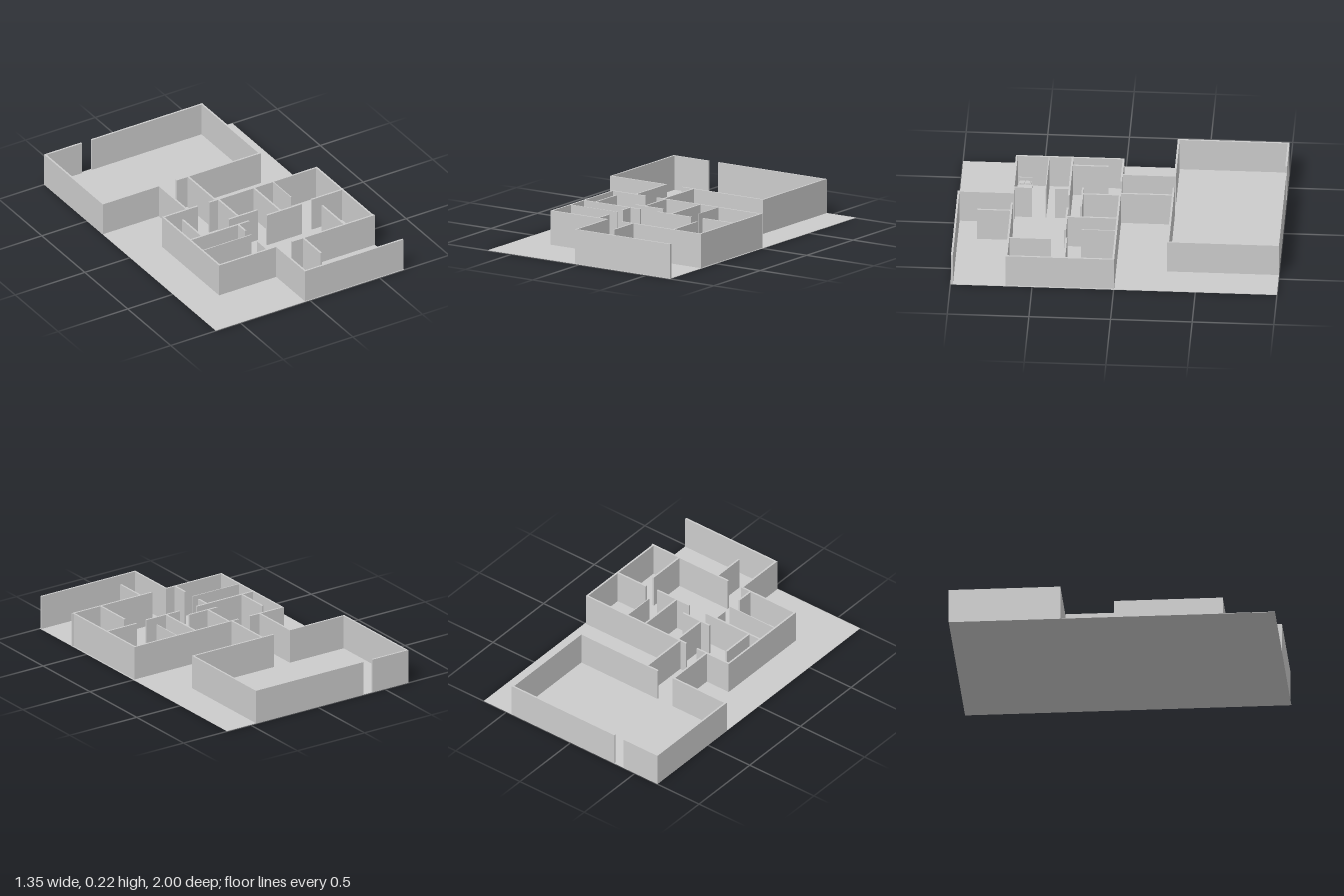
import * as THREE from 'three';

const HEIGHT = 0.217, FLOOR = 0.003, T = 0.012, THIN = 0.006;
const material = new THREE.MeshStandardMaterial({ color: 0xcccccc, flatShading: true });

function box(parent, name, x0, x1, y0, y1, z0, z1) {
  const mesh = new THREE.Mesh(new THREE.BoxGeometry(x1 - x0, y1 - y0, z1 - z0), material);
  mesh.position.set((x0 + x1) / 2, (y0 + y1) / 2, (z0 + z1) / 2);
  mesh.name = name;
  parent.add(mesh);
}

// Wall running along x, centred on z
const wallX = (g, name, z, x0, x1, t = T) => box(g, name, x0, x1, FLOOR, HEIGHT, z - t / 2, z + t / 2);
// Wall running along z, centred on x
const wallZ = (g, name, x, z0, z1, t = T) => box(g, name, x - t / 2, x + t / 2, FLOOR, HEIGHT, z0, z1);

function section(parent, name) {
  const g = new THREE.Group();
  g.name = name;
  parent.add(g);
  return g;
}

export function createModel() {
  const model = new THREE.Group();
  model.name = 'floorPlan';
  box(model, 'floor', -0.676, 0.676, 0, FLOOR, -1, 1);

  // Large rear hall with a doorway at the back
  const hall = section(model, 'rearHall');
  wallX(hall, 'hallBackWallRight', -0.994, -0.676, -0.41);
  wallX(hall, 'hallBackWallLeft', -0.994, -0.34, 0.46);
  wallZ(hall, 'hallRightWall', -0.67, -0.988, -0.327);
  wallZ(hall, 'hallLeftWall', 0.454, -0.988, -0.327);
  wallX(hall, 'hallFrontWallRight', -0.321, -0.676, -0.262);
  wallX(hall, 'hallFrontWallLeft', -0.321, -0.145, 0.46);

  // Corridor between the hall and the main block
  const corridor = section(model, 'corridor');
  for (const x of [-0.268, -0.061]) wallZ(corridor, 'corridorWall', x, -0.315, -0.003);

  // Outer walls of the main block
  const outer = section(model, 'outerWalls');
  wallX(outer, 'backWallRight', 0.003, -0.444, -0.192);
  wallX(outer, 'backWallLeft', 0.003, -0.11, 0.669);
  wallZ(outer, 'rightWall', -0.438, 0.009, 0.651);
  wallZ(outer, 'leftWall', 0.663, 0.009, 0.651);
  wallX(outer, 'frontWallRight', 0.657, -0.444, -0.022);
  wallX(outer, 'frontWallLeft', 0.657, 0.08, 0.674);

  // Partitions: [centre z, x start, x end, thickness]
  const rooms = section(model, 'partitions');
  const across = [
    [0.233, -0.11, 0.097], [0.315, -0.432, -0.016], [0.315, 0.112, 0.362],
    [0.303, 0.44, 0.657], [0.459, -0.432, -0.087, THIN],
  ];
  for (const [z, x0, x1, t] of across) wallX(rooms, 'crossPartition', z, x0, x1, t);

  // Partitions: [centre x, z start, z end, thickness]
  const along = [
    [-0.352, 0.09, 0.309], [-0.042, 0.009, 0.227], [0.212, 0.009, 0.309],
    [0.349, 0.009, 0.217, THIN], [0.461, 0.397, 0.651],
    [-0.093, 0.321, 0.402], [-0.093, 0.545, 0.651],
  ];
  for (const [x, z0, z1, t] of along) wallZ(rooms, 'lengthPartition', x, z0, z1, t);

  // Front porch, open on its left side
  const porch = section(model, 'porch');
  wallZ(porch, 'porchRightWall', -0.028, 0.663, 0.996);
  wallZ(porch, 'porchDivider', 0.164, 0.663, 0.865);
  wallX(porch, 'porchFrontWall', 0.99, -0.022, 0.674);

  // Small bed in the front corner room
  const bed = section(model, 'bed');
  box(bed, 'headboard', -0.425, -0.419, FLOOR, 0.07, 0.56, 0.645);
  box(bed, 'bedFrame', -0.419, -0.247, 0.012, 0.026, 0.56, 0.645);
  box(bed, 'mattress', -0.417, -0.252, 0.026, 0.042, 0.564, 0.641);
  box(bed, 'blanket', -0.345, -0.25, 0.042, 0.045, 0.562, 0.643);
  for (const z of [0.57, 0.606]) box(bed, 'pillow', -0.412, -0.382, 0.042, 0.051, z, z + 0.03);
  for (const x of [-0.417, -0.257])
    for (const z of [0.562, 0.635]) box(bed, 'bedLeg', x, x + 0.008, FLOOR, 0.012, z, z + 0.008);

  return model;
}
